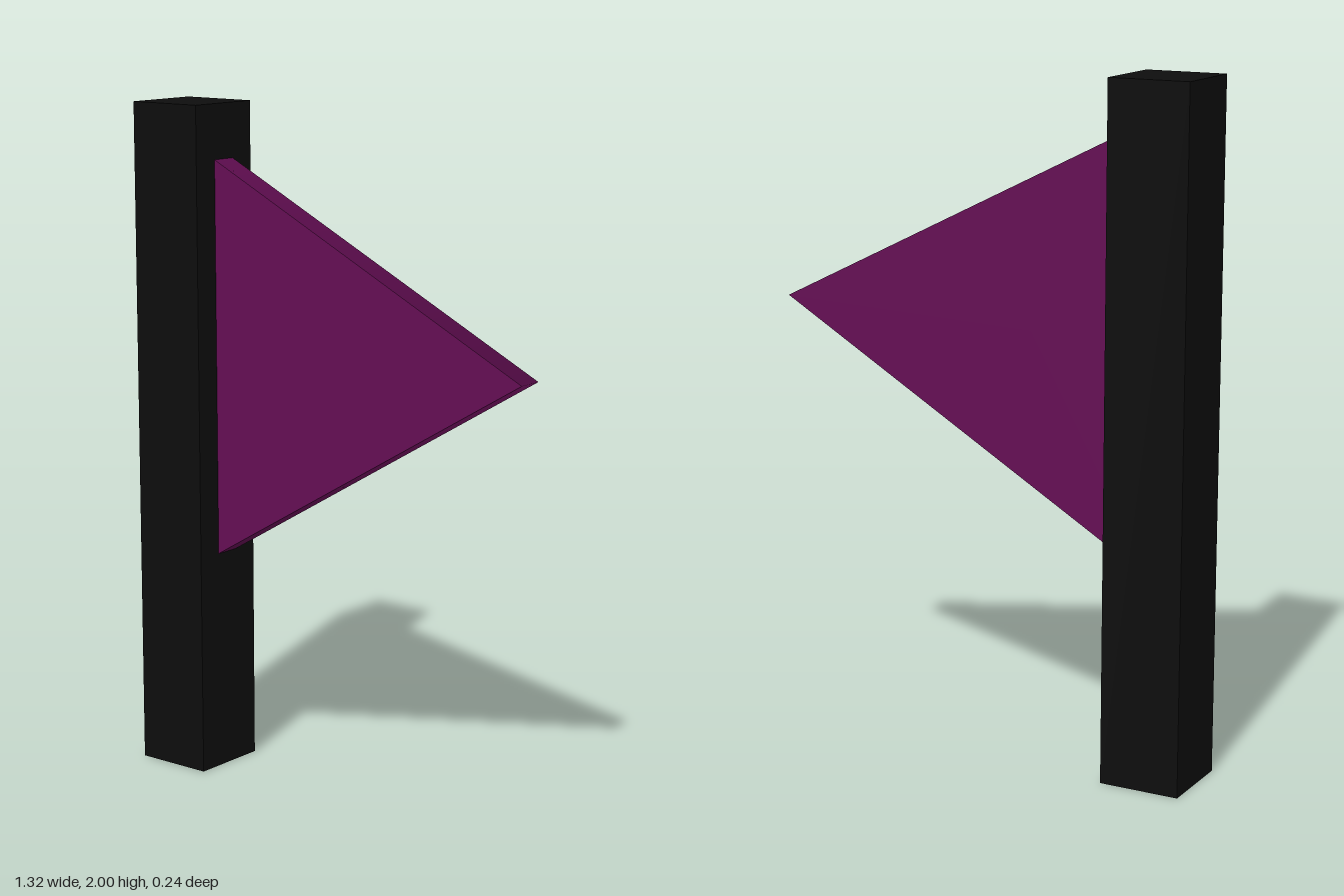
import * as THREE from 'three';

export function createModel() {
  const group = new THREE.Group();

  const poleBlack = new THREE.MeshStandardMaterial({ color: 0x0d0d0d });
  poleBlack.name = 'poleBlack';
  const flagPurple = new THREE.MeshStandardMaterial({ color: 0x640e54 });
  flagPurple.name = 'flagPurple';

  // Square upright post
  const pole = new THREE.Mesh(new THREE.BoxGeometry(0.24, 2, 0.24), poleBlack);
  pole.name = 'pole';
  pole.position.set(-0.54, 1, 0);

  // Pennant: a three-sided prism pointing to +x, its base sunk in the post
  const pennant = new THREE.CylinderGeometry(1, 1, 0.08, 3);
  pennant.rotateX(Math.PI / 2);
  pennant.rotateZ(Math.PI / 2);
  pennant.scale(0.81, 0.762, 1);
  const flag = new THREE.Mesh(pennant, flagPurple);
  flag.name = 'flag';
  flag.position.set(-0.15, 1.272, 0);
  flag.rotation.z = 0.035;

  group.add(pole, flag);
  return group;
}
